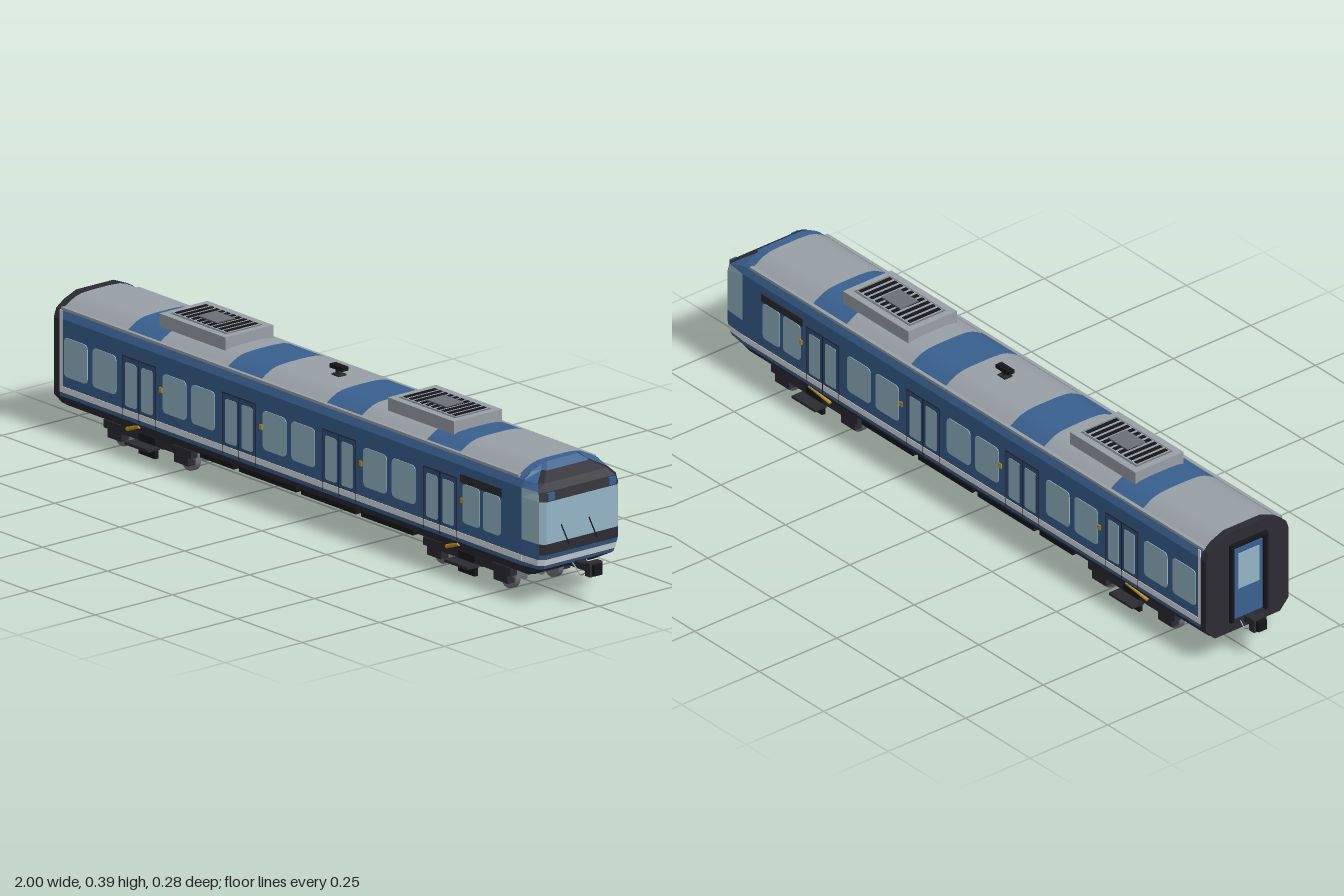
import * as THREE from 'three';

const paint = (name, color) => {
  const m = new THREE.MeshStandardMaterial({ color, side: THREE.DoubleSide });
  m.name = name;
  return m;
};

export function createModel() {
  const blue = paint('body blue', 0x39608f), doorBlue = paint('door blue', 0x2f5180);
  const glass = paint('window glass', 0x94b5c6), grey = paint('roof grey', 0x989fa6);
  const dark = paint('dark trim', 0x2b2b32), black = paint('black', 0x15161a);
  const white = paint('stripe white', 0xd8dce0), steel = paint('steel', 0x6b7078);
  const yellow = paint('yellow', 0xc4921c);
  const car = new THREE.Group();
  car.name = 'railcar';

  const add = (name, geo, mat, x = 0, y = 0, z = 0, parent = car) => {
    const m = new THREE.Mesh(geo, mat);
    m.name = name;
    m.position.set(x, y, z);
    parent.add(m);
    return m;
  };
  // box given by its limits
  const box = (name, mat, x0, x1, y0, y1, z0, z1, parent = car) =>
    add(name, new THREE.BoxGeometry(x1 - x0, y1 - y0, Math.abs(z1 - z0)), mat,
      (x0 + x1) / 2, (y0 + y1) / 2, (z0 + z1) / 2, parent);
  const rod = (name, mat, a, b, r, parent = car) => {
    const p = new THREE.Vector3(...a), d = new THREE.Vector3(...b).sub(p);
    const m = add(name, new THREE.CylinderGeometry(r, r, d.length(), 10), mat, 0, 0, 0, parent);
    m.position.copy(p).addScaledVector(d, 0.5);
    m.quaternion.setFromUnitVectors(new THREE.Vector3(0, 1, 0), d.normalize());
    return m;
  };
  // surface between cross-sections, each a list of [x, y, z]
  const loft = (name, mat, sections, smooth = false) => {
    const n = sections[0].length, idx = [];
    for (let i = 0; i < sections.length - 1; i++)
      for (let j = 0; j < n - 1; j++) {
        const a = i * n + j, b = a + n;
        idx.push(a, b, a + 1, b, b + 1, a + 1);
      }
    let g = new THREE.BufferGeometry();
    g.setAttribute('position', new THREE.Float32BufferAttribute(sections.flat(2), 3));
    g.setIndex(idx);
    if (!smooth) g = g.toNonIndexed();
    g.computeVertexNormals();
    return add(name, g, mat);
  };
  const roundRect = (w, h, r, depth) => {
    const s = new THREE.Shape(), x = w / 2, y = h / 2;
    s.moveTo(-x + r, -y);
    s.lineTo(x - r, -y); s.quadraticCurveTo(x, -y, x, -y + r);
    s.lineTo(x, y - r); s.quadraticCurveTo(x, y, x - r, y);
    s.lineTo(-x + r, y); s.quadraticCurveTo(-x, y, -x, y - r);
    s.lineTo(-x, -y + r); s.quadraticCurveTo(-x, -y, -x + r, -y);
    return new THREE.ExtrudeGeometry(s, { depth, bevelEnabled: false, curveSegments: 4 });
  };

  // body shell: floor, walls and roof, as [z, y] profiles run along x
  const X0 = -0.92, X1 = 0.86, W = 0.132;
  const run = (name, mat, prof, x0, x1, smooth) =>
    loft(name, mat, [x1, x0].map(x => prof.map(([z, y]) => [x, y, z])), smooth);
  run('underframe', dark, [[-W, .1], [-.108, .07], [.108, .07], [W, .1]], X0, X1);
  for (const s of [1, -1]) {
    const wall = [[s * W, .1], [s * W, .302], [s * .124, .32], [s * .116, .328]];
    run('sideWall', blue, s > 0 ? wall : wall.reverse(), X0, X1);
  }
  const half = [[.116, .328], [.1, .338], [.082, .347], [.062, .352], [.03, .354]];
  const roof = [...half, [0, .354], ...half.map(([z, y]) => [-z, y]).reverse()];
  const cuts = [X0, -.675, -.55, -.29, -.16, .09, .225, .475, .605, .835, X1];
  for (let i = 0; i < cuts.length - 1; i++)
    run('roofBand', i % 2 ? blue : grey, roof, cuts[i], cuts[i + 1], true);

  // cab nose rows: y and half width at the body, then y, x and half width at the front
  const rows = [
    [.07, .108, .07, .865, .105], [.1, W, .1, .922, .124], [.11, W, .11, .926, .127],
    [.127, W, .127, .931, .128], [.14, W, .14, .935, .128], [.168, W, .168, .935, .128],
    [.278, W, .278, .935, .128], [.302, W, .302, .929, .125], [.32, .124, .318, .91, .112],
    [.338, .1, .338, .88, .075], [.354, .055, .354, .86, .055]];
  const frontMats = [dark, blue, white, blue, dark, glass, dark, dark, dark, blue];
  const sideMats = [dark, blue, white, blue, blue, glass, glass, blue, blue, blue];
  const rowPts = (r, s) => [[X1, r[0], s * r[1]], [r[3] - .012, r[2], s * r[4]], [r[3], r[2], s * r[4] * .9]];
  for (let i = 0; i < rows.length - 1; i++) {
    const lo = rows[i], hi = rows[i + 1];
    for (const s of [1, -1]) {
      const a = rowPts(lo, s), b = rowPts(hi, s);
      const order = s > 0 ? [a, b] : [b, a];
      loft('cabSide', sideMats[i], order.map(p => p.slice(0, 2)).reverse());
      loft('cabCorner', frontMats[i], order.map(p => p.slice(1)).reverse());
    }
    loft('cabFront', frontMats[i], [hi, lo].map(r => [rowPts(r, 1)[2], rowPts(r, -1)[2]]));
  }
  for (const s of [1, -1]) {
    box('headlamp', blue, .925, .937, .281, .3, s * .088, s * .11);
  }
  for (const z of [.07, -.02]) rod('wiper', black, [.939, .213, z], [.939, .157, z - .025], .0016);

  // rear end frame with gangway door
  const end = new THREE.Shape([[-.105, .07], [.105, .07], [.133, .1], [.133, .3], [.125, .322],
    [.1, .34], [.06, .356], [-.06, .356], [-.1, .34], [-.125, .322], [-.133, .3], [-.133, .1]]
    .map(p => new THREE.Vector2(...p)));
  add('rearFrame', new THREE.ExtrudeGeometry(end, { depth: .022, bevelEnabled: false }), dark, -.94)
    .rotation.y = Math.PI / 2;
  box('rearDoor', blue, -.944, -.938, .105, .305, -.045, .045);
  box('rearDoorWindow', glass, -.947, -.943, .19, .29, -.034, .034);
  for (const s of [1, -1]) box('gangwayPost', black, -.95, -.938, .1, .315, s * .05, s * .06);
  box('gangwayTop', black, -.95, -.938, .312, .322, -.06, .06);

  // side details, mirrored on both walls
  const doorX = [-.612, -.227, .158, .547];
  const bays = [-.8, -.42, -.035, .352];
  const windowGeo = roundRect(.09, .102, .014, .003);
  const cabWindow = roundRect(.066, .102, .012, .003);
  const doorGlass = roundRect(.042, .115, .006, .002);
  for (const s of [1, -1]) {
    const zf = d => s * (W + d);
    const plate = (name, geo, depth, mat, x, y, z) =>
      add(name, geo, mat, x, y, s > 0 ? z : -z - depth);
    for (const b of bays)
      for (const d of [-.055, .055]) plate('window', windowGeo, .003, glass, b + d, .206, W - .001);
    for (const x of [.667, .746]) plate('window', cabWindow, .003, glass, x, .206, W - .001);
    box('destinationPanel', dark, .625, .785, .258, .28, zf(-.001), zf(.002));
    box('stripe', white, -.917, X1, .111, .127, zf(-.001), zf(.0015));
    box('rearStripe', white, -.917, -.908, .111, .325, zf(-.001), zf(.0012));
    box('gutter', grey, X0, .84, .322, .329, s * .116, s * .126);
    for (const x of doorX) {
      for (const d of [-.031, .031]) {
        box('doorLeaf', doorBlue, x + d - .03, x + d + .03, .129, .264, zf(-.001), zf(.001));
        plate('doorWindow', doorGlass, .002, glass, x + d, .194, W);
      }
      box('doorSeam', black, x - .001, x + .001, .104, .264, zf(-.001), zf(.0018));
      box('doorHeader', dark, x - .063, x + .063, .264, .267, zf(-.001), zf(.002));
      for (const d of [-.063, .063])
        box('doorJamb', dark, x + d - .001, x + d + .001, .104, .267, zf(-.001), zf(.0018));
      box('doorButton', yellow, x + .08, x + .09, .205, .218, zf(-.001), zf(.003));
    }
    // underfloor equipment
    for (const [a, b] of [[-.4, -.27], [-.25, -.03], [-.01, .2], [.22, .42]])
      box('equipmentBox', black, a, b, .064, .092, s * .02, s * .114);
  }
  box('centreTray', black, -.26, .2, .063, .08, -.04, .04);

  // roof cooling units
  for (const x of [-.472, .408]) {
    const unit = new THREE.Group();
    unit.name = 'roofUnit';
    unit.position.x = x;
    car.add(unit);
    box('unitCase', grey, -.127, .127, .34, .382, -.078, .078, unit);
    box('grilleRim', steel, -.108, .108, .381, .383, -.058, .058, unit);
    box('grilleBase', grey, -.104, .104, .382, .384, -.054, .054, unit);
    for (let i = 0; i < 10; i++) {
      const sx = -.0945 + i * .021;
      box('grilleSlat', black, sx - .0055, sx + .0055, .383, .386, -.05, .05, unit);
    }
    box('fanCover', steel, -.037, .037, .384, .389, -.029, .029, unit);
  }

  // roof antenna
  box('antennaMast', dark, -.007, .007, .352, .375, -.006, .006);
  box('antennaHead', black, -.025, .025, .37, .38, -.01, .01);
  box('antennaFoot', dark, -.014, .014, .352, .358, -.012, .012);

  // bogies
  for (const bx of [-.615, .615]) {
    const bogie = new THREE.Group();
    bogie.name = 'bogie';
    bogie.position.x = bx;
    car.add(bogie);
    const disc = (name, mat, r, w, x, z) => {
      add(name, new THREE.CylinderGeometry(r, r, w, 28), mat, x, .03, z, bogie).rotation.x = Math.PI / 2;
    };
    for (const x of [-.128, .128]) {
      disc('axle', steel, .007, .19, x, 0);
      for (const s of [1, -1]) {
        disc('wheel', steel, .03, .012, x, s * .072);
        disc('wheelFlange', steel, .032 - .002, .004, x, s * .064);
        disc('brakeDisc', grey, .017, .004, x, s * .028);
        box('axleBox', dark, x - .027, x + .027, .022, .058, s * .08, s * .102, bogie);
        box('primarySpring', steel, x - .012, x + .012, .056, .07, s * .084, s * .1, bogie);
      }
      box('motor', dark, x * .6 - .03, x * .6 + .03, .03, .062, -.045, .045, bogie);
    }
    box('bolster', dark, -.045, .045, .036, .07, -.09, .09, bogie);
    for (const x of [-.165, .155]) box('endBeam', steel, x, x + .01, .036, .05, -.085, .085, bogie);
    for (const s of [1, -1]) {
      box('sideFrame', dark, -.168, .168, .045, .066, s * .082, s * .104, bogie);
      box('frameTop', dark, -.1, .1, .064, .084, s * .084, s * .104, bogie);
      box('centreBox', black, -.032, .032, .011, .065, s * .094, s * .105, bogie);
      box('shoeBeam', dark, -.045, .045, .038, .045, s * .1, s * .139, bogie);
      rod('damper', yellow, [-.07, .066, s * .109], [-.005, .092, s * .124], .0055, bogie);
    }
  }

  // couplers at both ends
  for (const s of [1, -1]) {
    const c = new THREE.Group();
    c.name = 'coupler';
    if (s < 0) c.rotation.y = Math.PI;
    car.add(c);
    box('couplerBar', dark, .88, .98, .084, .102, -.011, .011, c);
    box('couplerHead', dark, .97, .99, .076, .112, -.02, .02, c);
    box('couplerFace', black, .988, 1, .08, .108, -.013, .013, c);
    for (const z of [.022, -.022]) {
      const path = new THREE.CatmullRomCurve3([[.925, .1, z], [.945, .085, z], [.955, .075, z], [.972, .084, z]]
        .map(p => new THREE.Vector3(...p)));
      add('hose', new THREE.TubeGeometry(path, 10, .0018, 6), grey, 0, 0, 0, c);
    }
  }
  return car;
}
